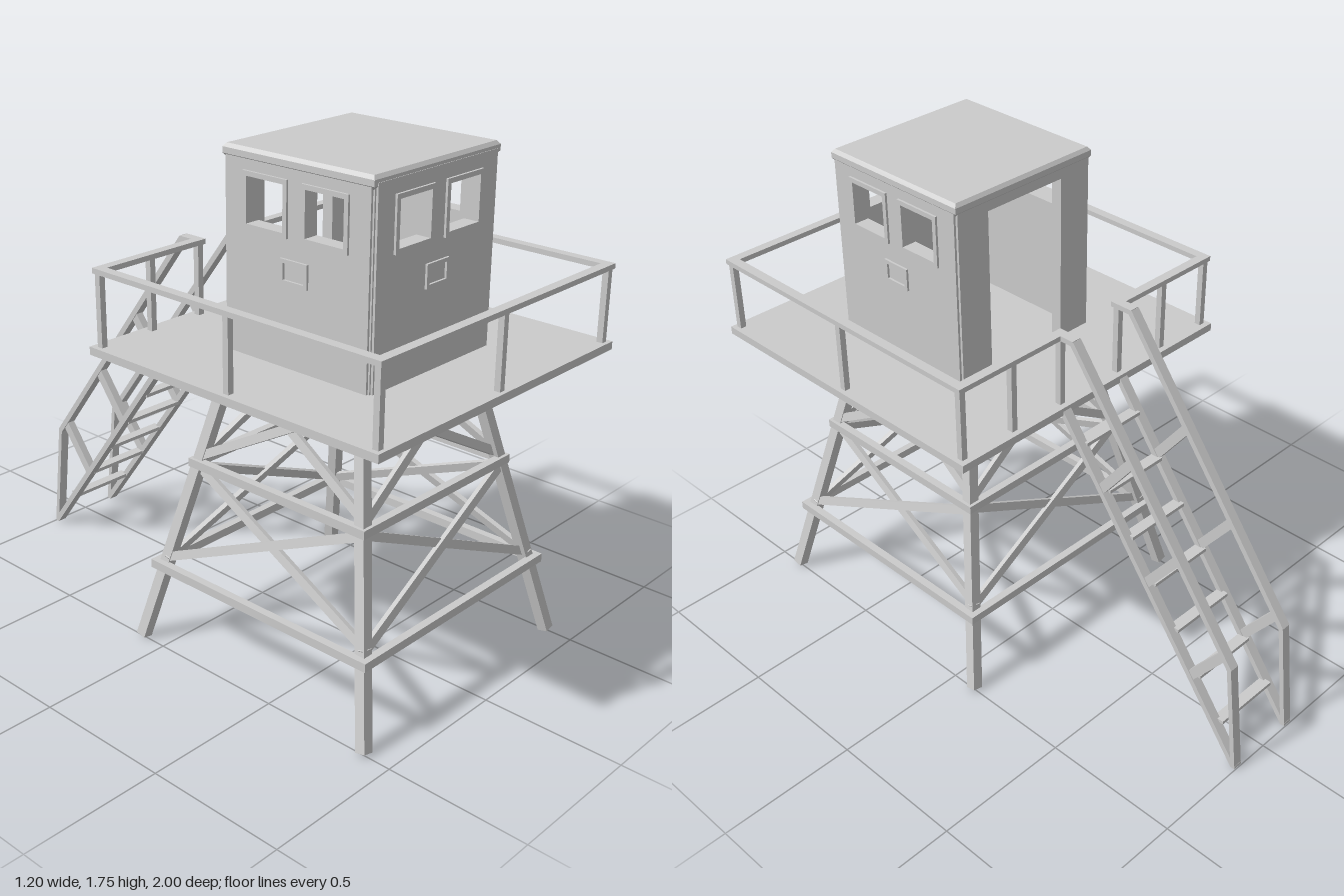
import * as THREE from 'three';

const material = new THREE.MeshStandardMaterial({ color: 0xcccccc, flatShading: true });
const V = (x, y, z) => new THREE.Vector3(x, y, z);

function add(parent, name, geometry, x = 0, y = 0, z = 0) {
  const mesh = new THREE.Mesh(geometry, material);
  mesh.name = name;
  mesh.position.set(x, y, z);
  parent.add(mesh);
  return mesh;
}

function box(parent, name, w, h, d, x, y, z) {
  return add(parent, name, new THREE.BoxGeometry(w, h, d), x, y, z);
}

// Rectangular bar from a to b; width runs along the side direction
function bar(parent, name, a, b, width, depth, side = V(1, 0, 0)) {
  const dir = b.clone().sub(a);
  const length = dir.length();
  dir.normalize();
  const x = side.clone().addScaledVector(dir, -side.dot(dir)).normalize();
  const y = dir.clone().cross(x);
  const mesh = add(parent, name, new THREE.BoxGeometry(width, depth, length));
  mesh.quaternion.setFromRotationMatrix(new THREE.Matrix4().makeBasis(x, y, dir));
  mesh.position.copy(a).lerp(b, 0.5);
  return mesh;
}

function subgroup(parent, name, x = 0, y = 0, z = 0) {
  const g = new THREE.Group();
  g.name = name;
  g.position.set(x, y, z);
  parent.add(g);
  return g;
}

function rectPoints(cx, cy, w, h) {
  return [[-1, -1], [1, -1], [1, 1], [-1, 1]].map(([i, j]) => new THREE.Vector2(cx + i * w / 2, cy + j * h / 2));
}

// Plate in the xy plane with rectangular holes, each [cx, cy, w, h]
function plate(rect, holes, depth) {
  const shape = new THREE.Shape(rectPoints(...rect));
  holes.forEach(h => shape.holes.push(new THREE.Path(rectPoints(...h).reverse())));
  return new THREE.ExtrudeGeometry(shape, { depth, bevelEnabled: false });
}

// Splayed legs, square beam rings and cross braces
function buildTower(parent) {
  const tower = subgroup(parent, 'tower', 0, 0, 0.4);
  const spread = y => 0.5 - 0.22 * y;
  for (const sx of [-1, 1]) for (const sz of [-1, 1]) {
    bar(tower, 'leg', V(sx * spread(0.01), 0.01, sz * spread(0.01)),
      V(sx * spread(1.06), 1.06, sz * spread(1.06)), 0.038, 0.038);
  }
  for (let i = 0; i < 4; i++) {
    const side = subgroup(tower, 'towerSide');
    side.rotation.y = i * Math.PI / 2;
    for (const [y, half] of [[0.29, 0.475], [0.67, 0.38], [1.043, 0.31]]) {
      box(side, 'crossBeam', half * 2, 0.03, 0.028, 0, y, half - 0.014);
    }
    for (const [y0, x0, y1, x1] of [[0.31, 0.445, 0.65, 0.35], [0.69, 0.355, 1.03, 0.27]]) {
      for (const s of [-1, 1]) {
        bar(side, 'diagonalBrace', V(-s * x0, y0, spread(y0) + s * 0.006),
          V(s * x1, y1, spread(y1) + s * 0.006), 0.018, 0.03, V(0, 0.22, 1));
      }
    }
  }
}

// Deck with posts and handrails, open at the stairs
function buildPlatform(parent) {
  const deck = subgroup(parent, 'platform');
  box(deck, 'deck', 1.2, 0.028, 1.2, 0, 1.071, 0.4);
  const posts = [[0, 0.975]];
  const e = 0.572, zf = 0.975, zb = -0.168, railY = 1.343;
  for (const s of [-1, 1]) {
    posts.push([s * e, zf], [s * e, 0.4], [s * e, zb], [s * 0.355, zb], [s * 0.137, zb]);
    box(deck, 'sideRail', 0.034, 0.018, zf - zb + 0.034, s * e, railY, (zf + zb) / 2);
    box(deck, 'backRail', 0.45, 0.018, 0.034, s * 0.345, railY, zb);
  }
  box(deck, 'frontRail', 2 * e + 0.034, 0.018, 0.034, 0, railY, zf);
  for (const [x, z] of posts) box(deck, 'railPost', 0.022, 0.26, 0.022, x, 1.21, z);
}

// Steep stairs with a handrail on each side
function buildStairs(parent) {
  const stairs = subgroup(parent, 'stairs');
  for (const s of [-1, 1]) {
    const x = s * 0.137;
    bar(stairs, 'stringer', V(x, 1.075, -0.185), V(x, 0.01, -0.99), 0.035, 0.02);
    bar(stairs, 'railExtension', V(x, 1.343, -0.15), V(x, 1.343, -0.237), 0.035, 0.018);
    bar(stairs, 'handrail', V(x, 1.346, -0.232), V(x, 0.415, -0.942), 0.035, 0.02);
    bar(stairs, 'endPost', V(x, 0.42, -0.94), V(x, 0.005, -0.99), 0.035, 0.017);
    for (let i = 0; i < 3; i++) {
      const z = -0.365 - i * 0.21, y = 0.84 - i * 0.275;
      bar(stairs, 'railStrut', V(x, y, z), V(x, y + 0.165, z - 0.125), 0.028, 0.034);
    }
  }
  for (let i = 0; i < 7; i++) {
    box(stairs, 'tread', 0.26, 0.013, 0.04, 0, 0.968 - i * 0.137, -0.265 - i * 0.1055);
  }
}

// Cabin with framed windows on three sides and a doorway at the back
function buildCabin(parent) {
  const cabin = subgroup(parent, 'cabin', 0, 0, 0.42);
  const windows = [-0.12, 0.12].map(x => [x, 1.595, 0.15, 0.15]);
  for (const turn of [-1, 0, 1]) {
    const wall = subgroup(cabin, turn ? 'sideWall' : 'frontWall');
    wall.rotation.y = turn * Math.PI / 2;
    add(wall, 'wall', plate([0, 1.4, turn ? 0.512 : 0.59, 0.64], windows, 0.039), 0, 0, 0.256);
    add(wall, 'wallPanel', plate([0, 1.405, 0.578, 0.655], windows, 0.008), 0, 0, 0.295);
    for (const [x, y, w, h] of windows) {
      add(wall, 'windowFrame', plate([x, y, w + 0.032, h + 0.032], [[x, y, w, h]], 0.01), 0, 0, 0.301);
    }
    add(wall, 'hatchFrame', plate([0, 1.4, 0.11, 0.08], [[0, 1.4, 0.084, 0.054]], 0.01), 0, 0, 0.301);
  }

  // Back wall outline steps around the doorway
  const back = new THREE.Shape([[-0.295, 1.08], [-0.165, 1.08], [-0.165, 1.685], [0.165, 1.685], [0.165, 1.08],
    [0.295, 1.08], [0.295, 1.72], [-0.295, 1.72]].map(p => new THREE.Vector2(...p)));
  add(cabin, 'backWall', new THREE.ExtrudeGeometry(back, { depth: 0.042, bevelEnabled: false }), 0, 0, -0.298);

  // Flat roof with chamfered edges
  const roof = add(cabin, 'roof', new THREE.ExtrudeGeometry(new THREE.Shape(rectPoints(0, 0, 0.59, 0.582)),
    { depth: 0.02, bevelSize: 0.01, bevelThickness: 0.012, bevelSegments: 1 }), 0, 1.723, 0);
  roof.rotation.x = -Math.PI / 2;
}

export function createModel() {
  const model = new THREE.Group();
  model.name = 'watchtower';
  buildTower(model);
  buildPlatform(model);
  buildStairs(model);
  buildCabin(model);
  return model;
}
